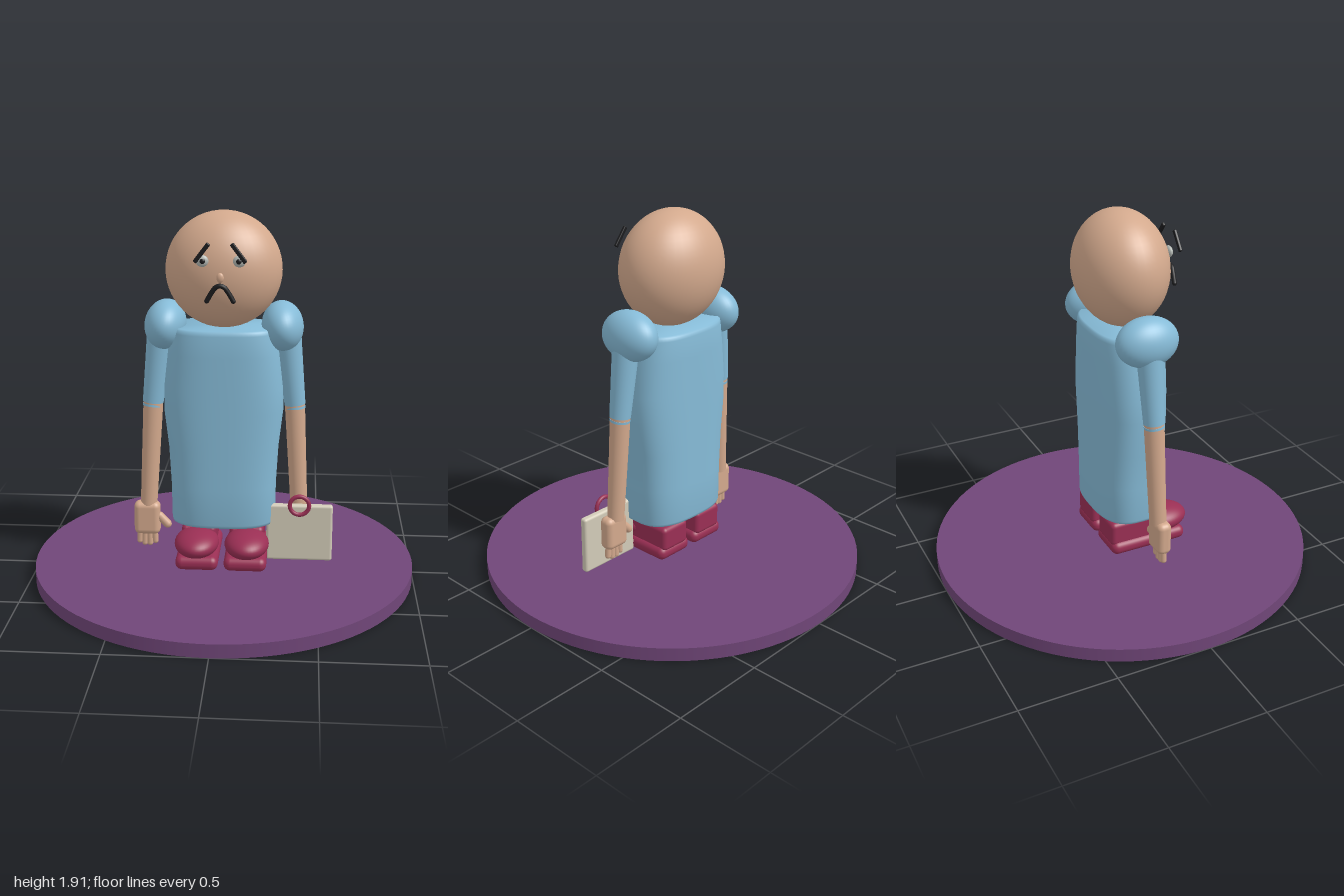
import * as THREE from 'three';
import { toCreasedNormals } from 'three/addons/utils/BufferGeometryUtils.js';
import { RoundedBoxGeometry } from 'three/addons/geometries/RoundedBoxGeometry.js';

const colour = (name, hex) => {
  const m = new THREE.MeshStandardMaterial({ color: hex });
  m.name = name;
  return m;
};

export function createModel() {
  const skin = colour('skin', 0xd3a98d);
  const blue = colour('blue cloth', 0x86bbd7);
  const red = colour('crimson', 0x9a2f54);
  const purple = colour('purple', 0x704678);
  const cream = colour('cream', 0xd2cbb8);
  const black = colour('black', 0x1c1c1e);
  const grey = colour('eye grey', 0xb4b9b4);

  const model = new THREE.Group();
  model.name = 'figure';
  const V = (x, y, z) => new THREE.Vector3(x, y, z);

  const add = (name, geo, mat, parent = model, x = 0, y = 0, z = 0) => {
    const m = new THREE.Mesh(geo, mat);
    m.name = name;
    m.position.set(x, y, z);
    parent.add(m);
    return m;
  };
  const ellipsoid = (name, mat, parent, p, r) => {
    const m = add(name, new THREE.SphereGeometry(1, 40, 28), mat, parent, ...p);
    m.scale.set(...r);
    return m;
  };
  const box = (name, mat, parent, p, s, radius) =>
    add(name, new RoundedBoxGeometry(...s, 4, radius), mat, parent, ...p);
  // tapered limb between two points
  const limb = (name, mat, parent, a, b, ra, rb) => {
    const dir = b.clone().sub(a);
    const m = add(name, new THREE.CylinderGeometry(rb, ra, dir.length(), 28), mat, parent);
    m.position.copy(a).addScaledVector(dir, 0.5);
    m.quaternion.setFromUnitVectors(V(0, 1, 0), dir.normalize());
    return m;
  };

  // round stand
  add('stand', new THREE.CylinderGeometry(1, 1, 0.07, 96), purple, model, 0, 0.035, 0);

  // gown: lathe reshaped to a squarish oval section, [half width, y, half depth]
  const rows = [
    [0, 0.29, 0], [0.255, 0.29, 0.17], [0.268, 0.297, 0.18], [0.271, 0.31, 0.183],
    [0.274, 0.5, 0.183], [0.285, 0.7, 0.183], [0.308, 0.9, 0.183], [0.305, 1.02, 0.183],
    [0.285, 1.2, 0.182], [0.268, 1.31, 0.181], [0.264, 1.328, 0.177], [0.255, 1.335, 0.168],
    [0, 1.335, 0],
  ];
  const gown = new THREE.LatheGeometry(rows.map(r => new THREE.Vector2(r[0], r[1])), 64);
  const pos = gown.attributes.position;
  const bulge = t => Math.sign(t) * Math.pow(Math.abs(t), 0.72);
  for (let i = 0; i < pos.count; i++) {
    const row = rows[i % rows.length];
    const a = (Math.floor(i / rows.length) / 64) * Math.PI * 2;
    pos.setX(i, row[0] * bulge(Math.sin(a)));
    pos.setZ(i, row[2] * bulge(Math.cos(a)));
  }
  add('gown', toCreasedNormals(gown, 0.9), blue);

  // head and face
  ellipsoid('head', skin, model, [0, 1.62, 0], [0.294, 0.294, 0.235]);
  ellipsoid('nose', skin, model, [0, 1.621, 0.264], [0.018, 0.024, 0.012]);
  const stroke = (name, points, r) => {
    const path = new THREE.CatmullRomCurve3(points);
    add(name, new THREE.TubeGeometry(path, 32, r, 12), black);
    [points[0], points[points.length - 1]].forEach(p =>
      ellipsoid(name + 'End', black, model, [p.x, p.y, p.z], [r, r, r]));
  };
  stroke('mouth', [V(-0.064, 1.51, 0.272), V(-0.04, 1.552, 0.276), V(-0.02, 1.578, 0.28),
    V(0, 1.585, 0.281), V(0.02, 1.578, 0.28), V(0.04, 1.552, 0.276), V(0.064, 1.51, 0.272)], 0.012);

  for (const s of [-1, 1]) {
    const side = s > 0 ? 'left' : 'right';
    const part = (name) => {
      const g = new THREE.Group();
      g.name = side + name;
      g.scale.x = s;
      model.add(g);
      return g;
    };

    // eye and worried brow
    ellipsoid(side + 'Eye', grey, model, [s * 0.09, 1.695, 0.222], [0.031, 0.029, 0.016]);
    ellipsoid(side + 'Pupil', black, model, [s * 0.088, 1.695, 0.235], [0.013, 0.013, 0.008]);
    const brow = box(side + 'Brow', black, model, [s * 0.089, 1.741, 0.27], [0.113, 0.021, 0.016], 0.005);
    brow.rotation.z = -s * 0.92;

    // puffed shoulder, sleeve, cuff and forearm
    const arm = part('Arm');
    const shoulder = ellipsoid('shoulder', blue, arm, [0.298, 1.335, 0], [0.106, 0.127, 0.164]);
    shoulder.rotation.z = 0.15;
    const top = V(0.325, 1.3, 0), elbow = V(0.367, 0.925, 0.007), wrist = V(0.397, 0.36, 0.022);
    limb('sleeve', blue, arm, top, elbow, 0.068, 0.054);
    limb('cuff', blue, arm, V(0.368, 0.915, 0.007), V(0.369, 0.903, 0.008), 0.0525, 0.0525);
    limb('forearm', skin, arm, V(0.366, 0.935, 0.007), wrist, 0.052, 0.044);

    // hand with four fingers and a thumb
    const hand = part('Hand');
    box('palm', skin, hand, [0.405, 0.29, 0.03], [0.138, 0.18, 0.078], 0.03);
    [0.445, 0.42, 0.393, 0.366].forEach((x, i) => {
      const f = add('finger', new THREE.CapsuleGeometry(0.016, 0.075, 6, 14), skin, hand,
        x, i === 0 || i === 3 ? 0.195 : 0.183, 0.032);
      f.rotation.z = (x - 0.405) * 1.5;
    });
    const thumb = add('thumb', new THREE.CapsuleGeometry(0.022, 0.06, 6, 16), skin, hand, 0.318, 0.278, 0.035);
    thumb.rotation.z = -0.75;

    // leg and shoe
    const shoe = part('Shoe');
    add('leg', new THREE.CylinderGeometry(0.056, 0.056, 0.12, 28), red, shoe, 0.125, 0.27, 0);
    box('sole', red, shoe, [0.125, 0.131, 0.065], [0.22, 0.074, 0.43], 0.035);
    box('heel', red, shoe, [0.125, 0.212, -0.015], [0.18, 0.135, 0.27], 0.025);
    ellipsoid('toe', red, shoe, [0.13, 0.212, 0.165], [0.115, 0.067, 0.155]);
  }

  // flat case with ring handle
  box('case', cream, model, [0.401, 0.248, 0.08], [0.345, 0.308, 0.04], 0.014);
  add('caseHandle', new THREE.TorusGeometry(0.05, 0.011, 16, 48), red, model, 0.4, 0.404, 0.106);

  return model;
}
